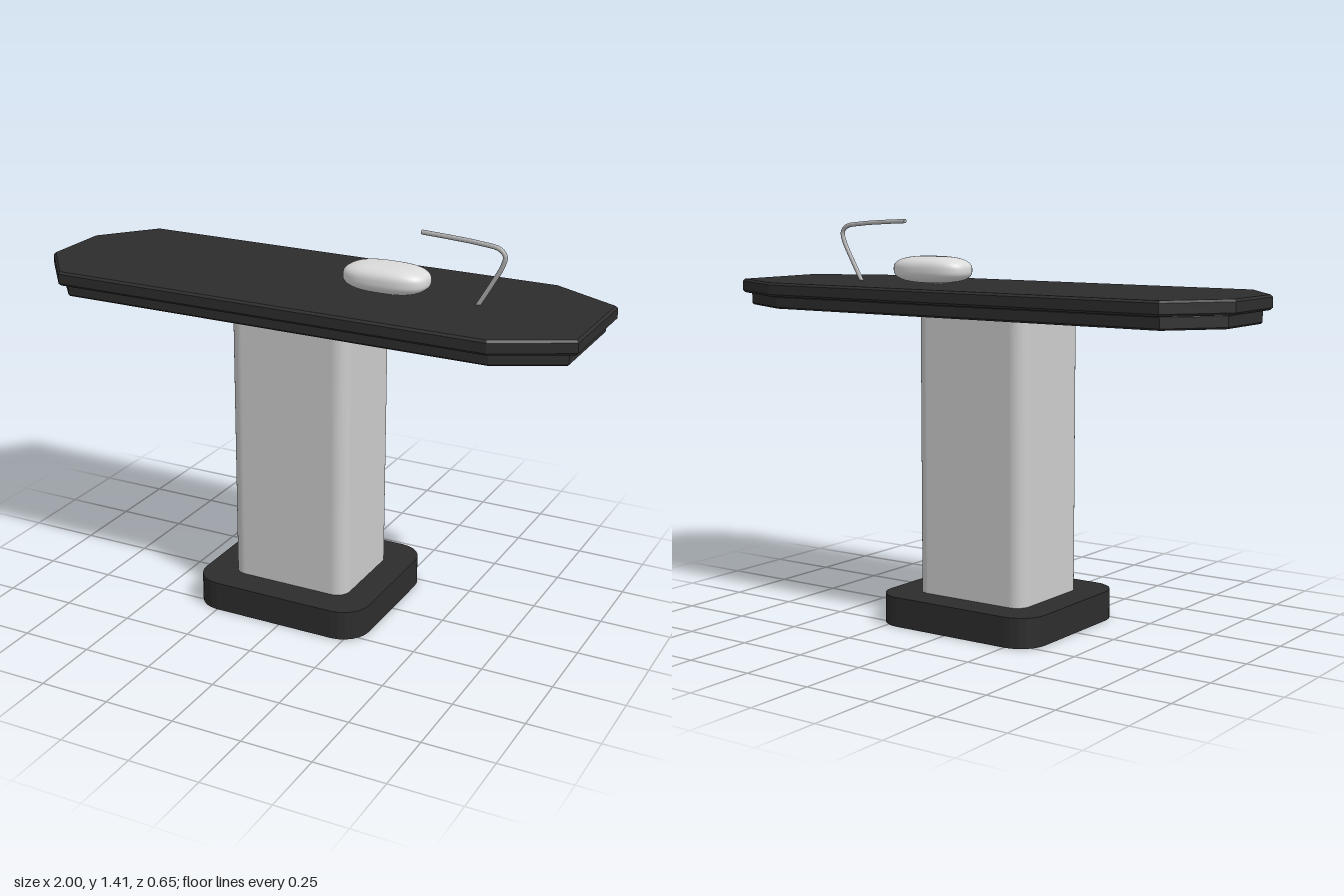
import * as THREE from 'three';

const mat = (name, color) => {
  const m = new THREE.MeshStandardMaterial({ color });
  m.name = name;
  return m;
};

// Rounded rectangle in the ground plane
function roundedRect(x0, x1, hz, r) {
  const s = new THREE.Shape();
  s.moveTo(x0 + r, -hz);
  s.lineTo(x1 - r, -hz);
  s.absarc(x1 - r, -hz + r, r, -Math.PI / 2, 0);
  s.lineTo(x1, hz - r);
  s.absarc(x1 - r, hz - r, r, 0, Math.PI / 2);
  s.lineTo(x0 + r, hz);
  s.absarc(x0 + r, hz - r, r, Math.PI / 2, Math.PI);
  s.lineTo(x0, -hz + r);
  s.absarc(x0 + r, -hz + r, r, Math.PI, Math.PI * 1.5);
  return s;
}

// Eight-sided table outline with cut corners
function tabletop(headX, cutX, headZ, footX, footCutX, footZ, hz) {
  const half = [[headX, headZ], [cutX, hz], [footCutX, hz], [footX, footZ]];
  const mirrored = half.map(([x, z]) => [x, -z]).reverse();
  return new THREE.Shape([...half, ...mirrored].map(([x, z]) => new THREE.Vector2(x, z)));
}

// Upright extrusion of an outline from y0 to y1
function slab(shape, y0, y1, bevel, curveSegments) {
  const g = new THREE.ExtrudeGeometry(shape, {
    depth: y1 - y0 - 2 * bevel, curveSegments,
    bevelEnabled: bevel > 0, bevelSize: bevel, bevelThickness: bevel,
    bevelOffset: -bevel, bevelSegments: 1,
  });
  return g.rotateX(-Math.PI / 2).translate(0, y0 + bevel, 0);
}

// Sphere squared off towards a soft box
function cushionGeometry(hx, hy, hz, power) {
  const g = new THREE.SphereGeometry(1, 48, 32);
  const p = g.attributes.position;
  const n = g.attributes.normal;
  const v = new THREE.Vector3();
  const grad = (c) => Math.sign(c) * Math.abs(c) ** (power - 1);
  for (let i = 0; i < p.count; i++) {
    v.fromBufferAttribute(p, i);
    const k = (Math.abs(v.x) ** power + Math.abs(v.y) ** power + Math.abs(v.z) ** power) ** (-1 / power);
    v.multiplyScalar(k);
    p.setXYZ(i, v.x * hx, v.y * hy, v.z * hz);
    v.set(grad(v.x) / hx, grad(v.y) / hy, grad(v.z) / hz).normalize();
    n.setXYZ(i, v.x, v.y, v.z);
  }
  return g;
}

export function createModel() {
  const model = new THREE.Group();
  model.name = 'operatingTable';
  const black = mat('blackPadding', 0x2d2d2d);
  const grey = mat('lightGreyColumn', 0xcccccc);
  const white = mat('paleCushion', 0xdadada);
  const steel = mat('steel', 0xb0b0b0);

  const add = (name, geometry, material) => {
    const mesh = new THREE.Mesh(geometry, material);
    mesh.name = name;
    model.add(mesh);
    return mesh;
  };

  // Foot and column
  add('base', slab(roundedRect(-0.35, 0.305, 0.295, 0.1), 0, 0.105, 0, 3), black);
  add('column', slab(roundedRect(-0.245, 0.2, 0.185, 0.05), 0.1, 1.095, 0, 10), grey);

  // Two stacked slabs of the table
  add('tableFrame', slab(tabletop(-0.97, -0.825, 0.12, 0.968, 0.745, 0.18, 0.293), 1.09, 1.137, 0.006, 1), black);
  add('tablePad', slab(tabletop(-1, -0.84, 0.13, 1, 0.75, 0.195, 0.327), 1.135, 1.185, 0.008, 1), black);

  // Head cushion
  add('cushion', cushionGeometry(0.152, 0.048, 0.085, 2.7), white).position.set(0.262, 1.233, 0);

  // Bent rod over the cushion
  const path = new THREE.CatmullRomCurve3([
    [0.585, 1.175], [0.635, 1.26], [0.67, 1.325], [0.677, 1.358],
    [0.658, 1.379], [0.59, 1.39], [0.49, 1.397], [0.385, 1.402],
  ].map(([x, y]) => new THREE.Vector3(x, y, 0)));
  add('rod', new THREE.TubeGeometry(path, 48, 0.008, 10), steel);
  const cap = add('rodTip', new THREE.CircleGeometry(0.008, 10), steel);
  cap.position.set(0.385, 1.402, 0);
  cap.rotation.y = -Math.PI / 2;

  return model;
}
